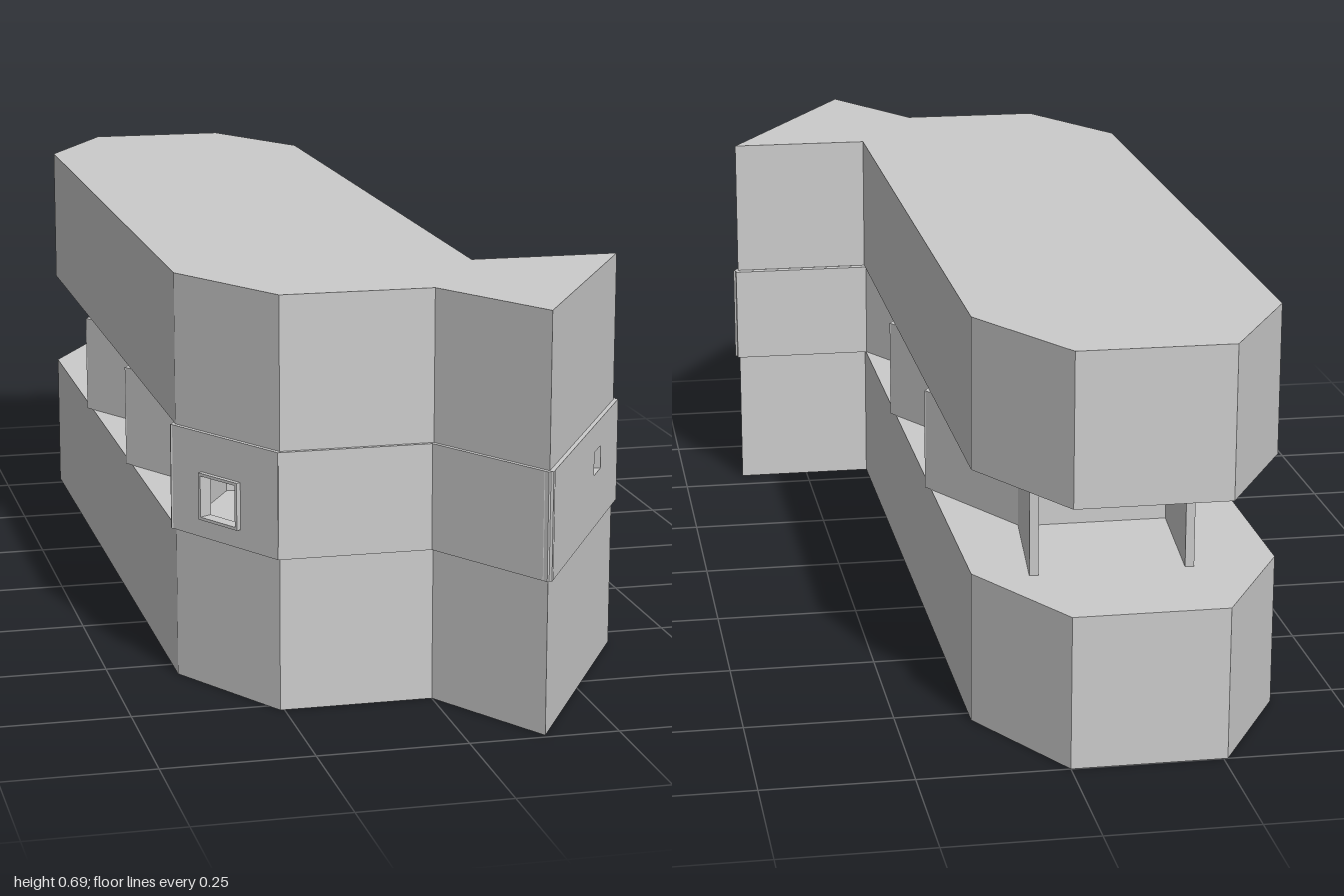
import * as THREE from 'three';

const material = new THREE.MeshStandardMaterial({ color: 0xcccccc, flatShading: true });
const LOW = 0.258, HIGH = 0.437, TOP = 0.693; // gap between the slabs, and full height
const T = 0.015; // wall thickness

// Plan outline as [x, z], following the edges of a row of hexagonal cells
const outline = [
  [-0.257, -1], [0, -1], [0.125, -0.78], [0.125, 0.553], [0.382, 0.553],
  [0.128, 0.992], [0, 0.775], [-0.257, 0.775], [-0.385, 0.553], [-0.385, -0.78],
];

function slab(name, y0, y1) {
  const shape = new THREE.Shape(outline.map(([x, z]) => new THREE.Vector2(x, -z)));
  const geometry = new THREE.ExtrudeGeometry(shape, { depth: y1 - y0, bevelEnabled: false });
  geometry.rotateX(-Math.PI / 2);
  const mesh = new THREE.Mesh(geometry, material);
  mesh.position.y = y0;
  mesh.name = name;
  return mesh;
}

function rect(path, x0, y0, x1, y1) {
  path.moveTo(x0, y0);
  path.lineTo(x1, y0);
  path.lineTo(x1, y1);
  path.lineTo(x0, y1);
  path.closePath();
  return path;
}

// Upright panel from a to b; hole = { u, y, w, h, rim } is a rectangular opening
function wall(name, a, b, hole) {
  const dx = b[0] - a[0], dz = b[1] - a[1];
  const length = Math.hypot(dx, dz);
  const group = new THREE.Group();
  group.name = name;
  group.position.set(a[0], 0, a[1]);
  group.rotation.y = Math.atan2(-dz, dx);

  const add = (shape, depth, z, part) => {
    const geometry = new THREE.ExtrudeGeometry(shape, { depth, bevelEnabled: false });
    geometry.translate(0, 0, z);
    const mesh = new THREE.Mesh(geometry, material);
    mesh.name = part;
    group.add(mesh);
  };
  const opening = (path) => rect(path,
    hole.u - hole.w / 2, hole.y - hole.h / 2, hole.u + hole.w / 2, hole.y + hole.h / 2);

  const panel = rect(new THREE.Shape(), -T / 3, LOW, length + T / 3, HIGH);
  if (hole) panel.holes.push(opening(new THREE.Path()));
  add(panel, T, -T / 2, 'panel');

  if (hole && hole.rim) {
    const r = hole.rim;
    const frame = rect(new THREE.Shape(),
      hole.u - hole.w / 2 - r, hole.y - hole.h / 2 - r,
      hole.u + hole.w / 2 + r, hole.y + hole.h / 2 + r);
    frame.holes.push(opening(new THREE.Path()));
    add(frame, T + 0.008, -T / 2, 'windowFrame');
  }
  return group;
}

export function createModel() {
  const model = new THREE.Group();
  model.name = 'hexCorridor';
  model.add(slab('bottomSlab', 0, LOW), slab('topSlab', HIGH, TOP));

  // Front walls around the first cell and the pointed side cell
  model.add(
    wall('frontRightWall', [-0.385, 0.553], [-0.257, 0.775], { u: 0.122, y: 0.33, w: 0.085, h: 0.07, rim: 0.005 }),
    wall('frontWall', [-0.257, 0.775], [0, 0.775]),
    wall('noseInnerWall', [0, 0.775], [0.128, 0.992]),
    wall('noseOuterWall', [0.128, 0.992], [0.382, 0.553], { u: 0.34, y: 0.37, w: 0.052, h: 0.04 }),
    wall('noseBackWall', [0.382, 0.545], [0.125, 0.545]),
  );

  // Zigzag side walls, mirrored about the corridor axis
  const axis = -0.13, inner = 0.13, outer = 0.255, step = 0.222;
  for (const side of [1, -1]) {
    for (let i = 0; i < 5; i++) {
      const point = (k) => [axis + side * (k % 2 ? inner : outer), 0.555 - k * step];
      const ends = side > 0 ? [point(i + 1), point(i)] : [point(i), point(i + 1)];
      model.add(wall(side > 0 ? 'leftSideWall' : 'rightSideWall', ...ends));
    }
  }

  // Cross walls between the cells
  for (const z of [0.333, -0.111, -0.555]) {
    model.add(wall('crossWall', [-0.257, z], [0, z]));
  }

  // Straight walls in the open rear cell
  model.add(
    wall('rearLeftWall', [0.0, -0.56], [0.025, -0.8]),
    wall('rearRightWall', [-0.257, -0.56], [-0.235, -0.8]),
  );
  return model;
}
